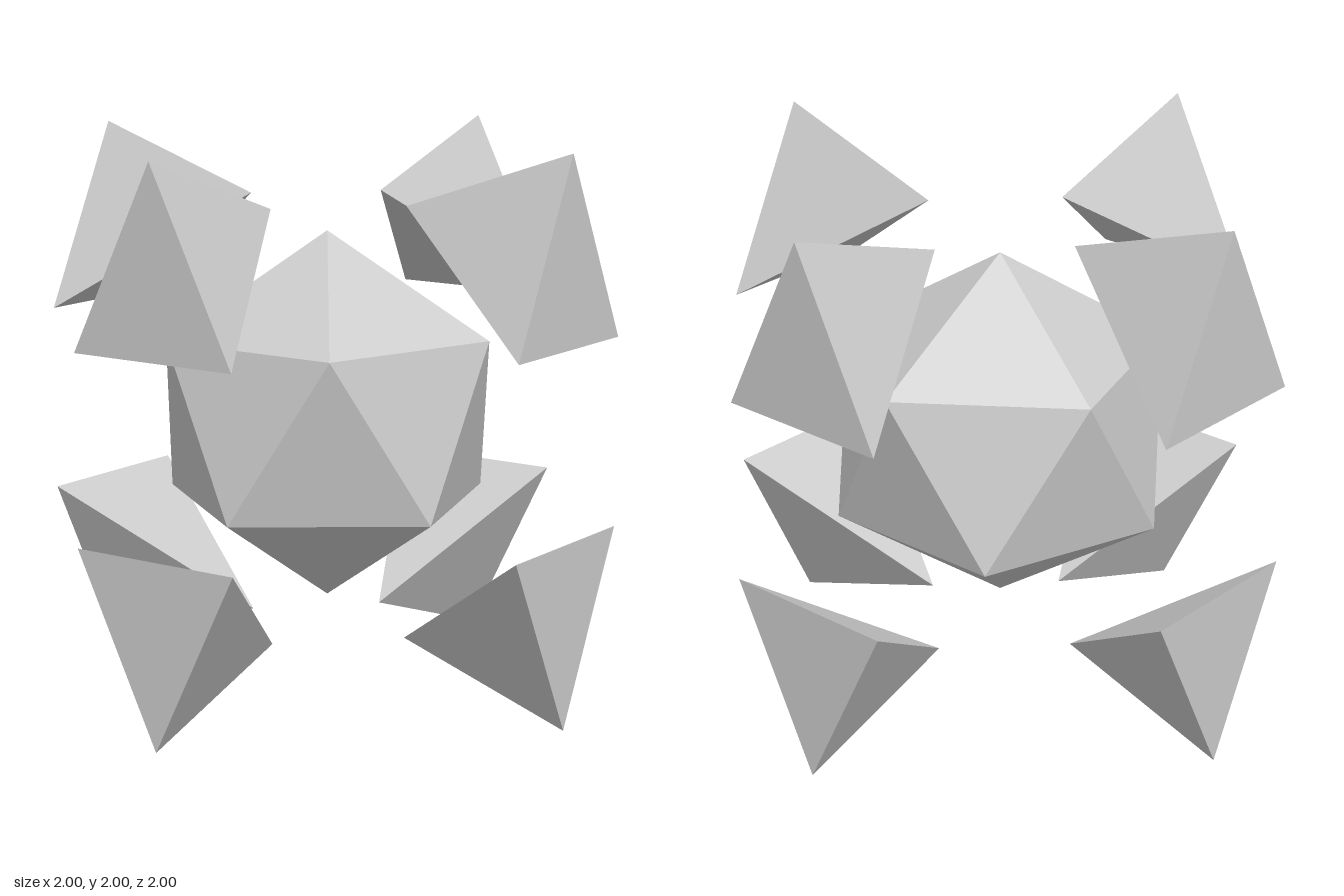
import * as THREE from 'three';
import { ConvexGeometry } from 'three/addons/geometries/ConvexGeometry.js';

const V = (x, y, z) => new THREE.Vector3(x, y, z);

export function createModel() {
  const group = new THREE.Group();
  const material = new THREE.MeshStandardMaterial({ color: 0xcccccc, flatShading: true });

  const addSolid = (name, points) => {
    const mesh = new THREE.Mesh(new ConvexGeometry(points), material);
    mesh.name = name;
    group.add(mesh);
    return mesh;
  };

  // Central icosahedron standing on a vertex: two poles and two rings of five
  const R = 2 / 3;
  const ringY = R / Math.sqrt(5);
  const ringR = 2 * ringY;
  const corners = [V(0, R, 0), V(0, -R, 0)];
  for (let i = 0; i < 5; i++) {
    const a = (i * 2 * Math.PI) / 5;
    const p = V(ringR * Math.cos(a), ringY, ringR * Math.sin(a));
    corners.push(p, p.clone().negate());
  }
  addSolid('core', corners).position.y = 1;

  // Floating shards: flat triangle outside, apex inward, mirrored above and below on four sides
  const sides = ['left', 'back', 'right', 'front'];
  for (const [level, s] of [['upper', 1], ['lower', -1]]) {
    sides.forEach((side, i) => {
      const shard = addSolid(`${level}${side[0].toUpperCase()}${side.slice(1)}Shard`, [
        V(1, s, 0),
        V(1, s * 0.337, 0.33),
        V(1, s * 0.337, -0.33),
        V(0.337, s * 0.777, 0),
      ]);
      shard.position.y = 1;
      shard.rotation.y = (i * Math.PI) / 2;
    });
  }

  return group;
}
